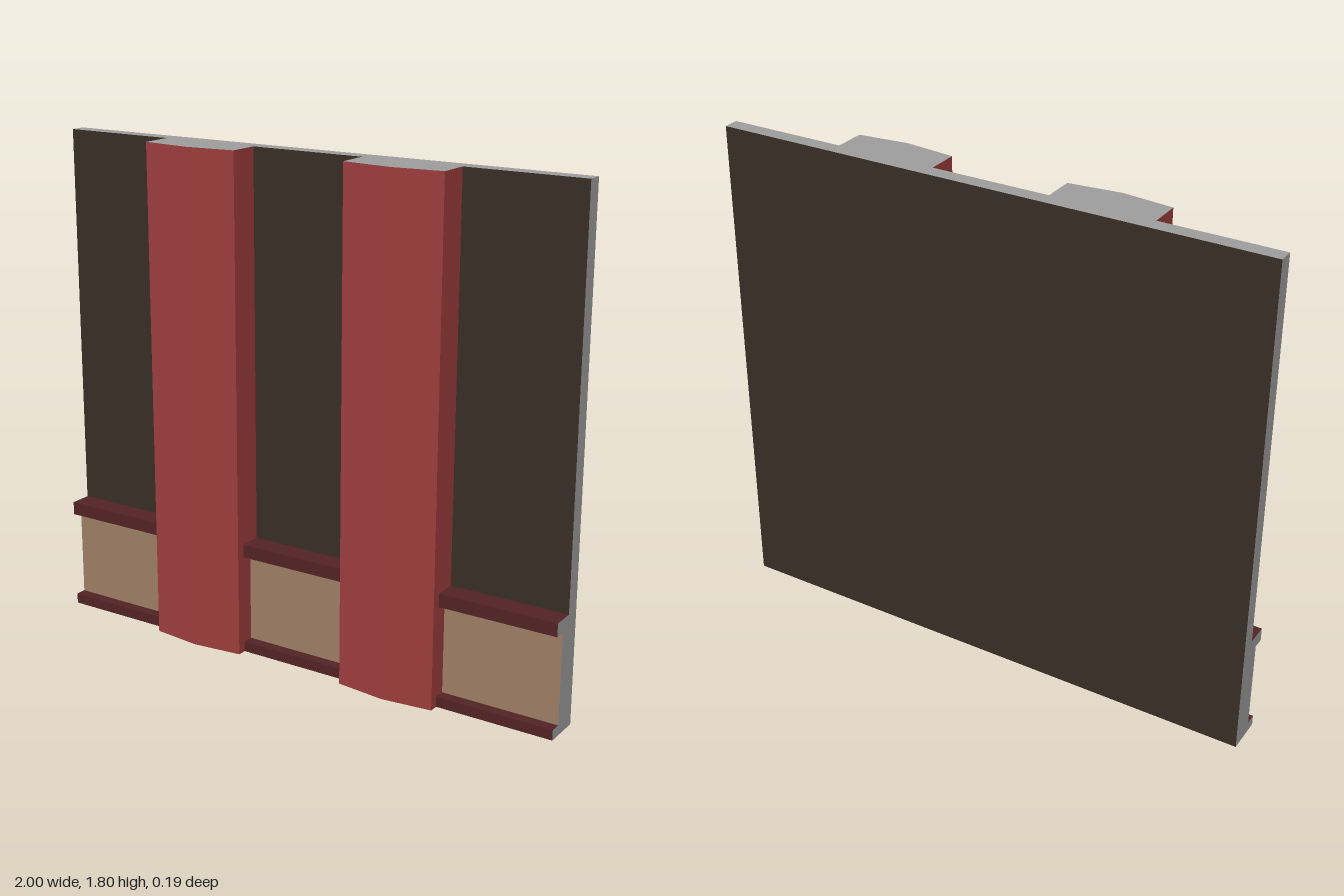
import * as THREE from 'three';

const paint = (name, color) => {
  const m = new THREE.MeshStandardMaterial({ color });
  m.name = name;
  return m;
};

export function createModel() {
  const model = new THREE.Group();
  model.name = 'wallSection';
  const plaster = paint('dark brown wall', 0x372e24);
  const red = paint('red column', 0x9b3c3c);
  const trim = paint('dark red trim', 0x522224);
  const tan = paint('tan panel', 0x9b7d64);
  const grey = paint('grey cut end', 0x9c9c9c);

  const H = 1.8, BACK = -0.095, WALL = -0.04, PANEL = 0, RAIL = 0.04;

  // Box between two corners; materials ordered +x, -x, +y, -y, +z, -z
  const block = (name, [x0, y0, z0], [x1, y1, z1], materials) => {
    const mesh = new THREE.Mesh(new THREE.BoxGeometry(x1 - x0, y1 - y0, z1 - z0), materials);
    mesh.position.set((x0 + x1) / 2, (y0 + y1) / 2, (z0 + z1) / 2);
    mesh.name = name;
    model.add(mesh);
  };

  // Back slab with plain cut ends
  block('wallSlab', [-1, 0, BACK], [1, H, WALL], [grey, grey, grey, grey, plaster, plaster]);

  // Bays between the columns: lower panel with a rail above and below
  for (const [x0, x1] of [[-1, -0.577], [-0.213, 0.21], [0.573, 1]]) {
    block('lowerPanel', [x0, 0.037, WALL], [x1, 0.362, PANEL], [grey, grey, trim, grey, tan, tan]);
    block('topRail', [x0, 0.362, WALL], [x1, 0.41, RAIL], [grey, grey, trim, trim, trim, trim]);
    block('bottomRail', [x0, 0, WALL], [x1, 0.037, RAIL], [grey, grey, trim, grey, trim, trim]);
  }

  // Full-height columns with a shallow two-faced front
  for (const [x0, x1] of [[-0.577, -0.213], [0.21, 0.573]]) {
    const outline = [[x0, WALL], [x0, 0.073], [(x0 + x1) / 2, 0.093], [x1, 0.073], [x1, WALL]];
    const shape = new THREE.Shape(outline.map(([x, z]) => new THREE.Vector2(x, -z)));
    const geometry = new THREE.ExtrudeGeometry(shape, { depth: H, bevelEnabled: false });
    geometry.rotateX(-Math.PI / 2);
    const column = new THREE.Mesh(geometry, [grey, red]);
    column.name = 'column';
    model.add(column);
  }
  return model;
}
